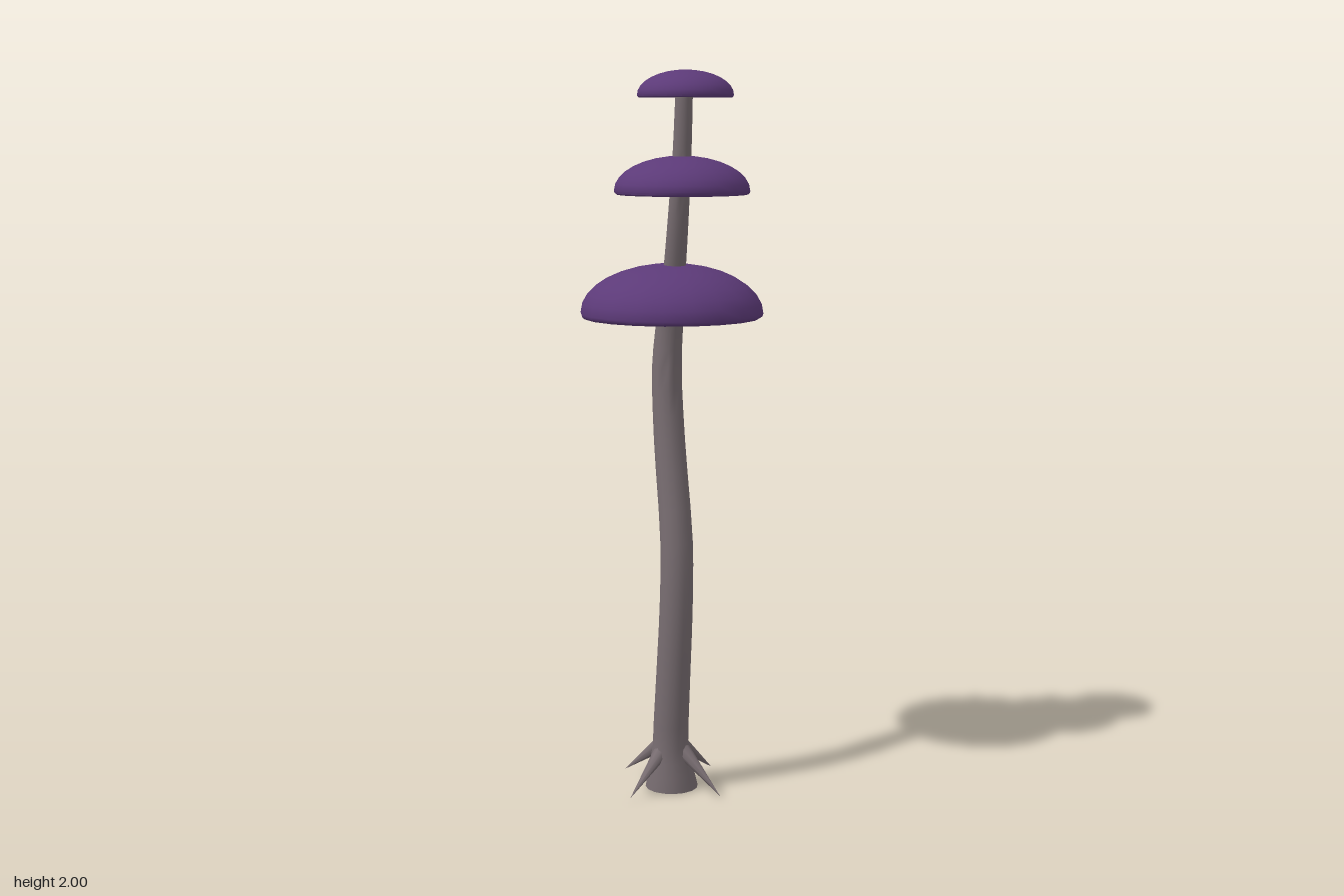
import * as THREE from 'three';
import { toCreasedNormals } from 'three/addons/utils/BufferGeometryUtils.js';

function material(name, color) {
  const m = new THREE.MeshStandardMaterial({ color });
  m.name = name;
  return m;
}

// Stem centre line with radius: x, y, z, r
const STEM = [
  [0, 0.005, 0, 0.074], [0.006, 0.13, 0.012, 0.05], [0.022, 0.32, 0.02, 0.048],
  [0.037, 0.54, 0.024, 0.046], [0.034, 0.72, 0.019, 0.045], [-0.008, 1.0, 0, 0.043],
  [-0.024, 1.2, -0.008, 0.041], [-0.012, 1.34, -0.008, 0.037], [0.026, 1.49, 0.016, 0.03],
  [0.062, 1.67, 0.04, 0.027], [0.075, 1.79, 0.045, 0.025], [0.087, 1.95, 0.051, 0.023],
];

// Caps: x, z, underside height, top height, radius
const CAPS = [
  ['lowerCap', 0, 0, 1.338, 1.485, 0.25],
  ['middleCap', 0.07, 0.04, 1.674, 1.776, 0.182],
  ['upperCap', 0.09, 0.05, 1.928, 2.0, 0.128],
];

// A cylinder whose rings follow the bending centre line
function stemGeometry() {
  const spans = STEM.length - 1;
  const curve = new THREE.CatmullRomCurve3(STEM.map(([x, y, z]) => new THREE.Vector3(x, y, z)));
  const geo = new THREE.CylinderGeometry(1, 1, 1, 16, spans * 3);
  const pos = geo.attributes.position;
  for (let i = 0; i < pos.count; i++) {
    const t = THREE.MathUtils.clamp(pos.getY(i) + 0.5, 0, 1);
    const k = Math.min(Math.floor(t * spans), spans - 1);
    const r = THREE.MathUtils.lerp(STEM[k][3], STEM[k + 1][3], t * spans - k);
    const c = curve.getPoint(t);
    pos.setXYZ(i, c.x + pos.getX(i) * r, c.y, c.z + pos.getZ(i) * r);
  }
  return toCreasedNormals(geo, 0.8);
}

// Squashed dome with a turned-in rim and a shallow hollow underneath
function capGeometry(R, height) {
  const rim = R * 0.05;
  const profile = [[0, R * 0.1], [R * 0.9, R * 0.06], [R * 0.965, 0], [R * 0.99, rim * 0.4]];
  for (let i = 0; i <= 8; i++) {
    const a = (i / 8) * Math.PI / 2;
    profile.push([i === 8 ? 0 : R * Math.cos(a), rim + (height - rim) * Math.sin(a)]);
  }
  const geo = new THREE.LatheGeometry(profile.map(([x, y]) => new THREE.Vector2(x, y)), 20);
  return toCreasedNormals(geo, 0.6);
}

export function createModel() {
  const model = new THREE.Group();
  model.name = 'mushroom';
  const stemGrey = material('stem grey', 0x786d71);
  const capPurple = material('cap purple', 0x5c3a78);
  const gillLilac = material('gill lilac', 0xb09ae0);

  const stem = new THREE.Mesh(stemGeometry(), stemGrey);
  stem.name = 'stem';
  model.add(stem);

  // Four pointed roots around the foot
  const from = new THREE.Vector3(0.042, 0.118, 0);
  const tip = new THREE.Vector3(0.177, 0.014, 0);
  const dir = tip.clone().sub(from);
  const rootGeo = new THREE.ConeGeometry(0.022, dir.length(), 8);
  for (let i = 0; i < 4; i++) {
    const pivot = new THREE.Group();
    pivot.name = 'root';
    const root = new THREE.Mesh(rootGeo, stemGrey);
    root.position.copy(from).add(tip).multiplyScalar(0.5);
    root.quaternion.setFromUnitVectors(new THREE.Vector3(0, 1, 0), dir.clone().normalize());
    pivot.rotation.y = i * Math.PI / 2;
    pivot.add(root);
    model.add(pivot);
  }

  // Caps, each with a ring of tapering gills beneath
  for (const [name, x, z, bottom, top, R] of CAPS) {
    const group = new THREE.Group();
    group.name = name;
    group.position.set(x, bottom, z);
    const dome = new THREE.Mesh(capGeometry(R, top - bottom), capPurple);
    dome.name = 'dome';
    group.add(dome);

    const length = R * 0.6;
    const gillGeo = new THREE.ConeGeometry(R * 0.026, length, 4)
      .rotateZ(-Math.PI / 2)
      .translate(R * 0.08 + length / 2, R * 0.075, 0);
    for (let i = 0; i < 24; i++) {
      const gill = new THREE.Mesh(gillGeo, gillLilac);
      gill.name = 'gill';
      gill.rotation.y = (i / 24) * Math.PI * 2;
      group.add(gill);
    }
    model.add(group);
  }
  return model;
}
